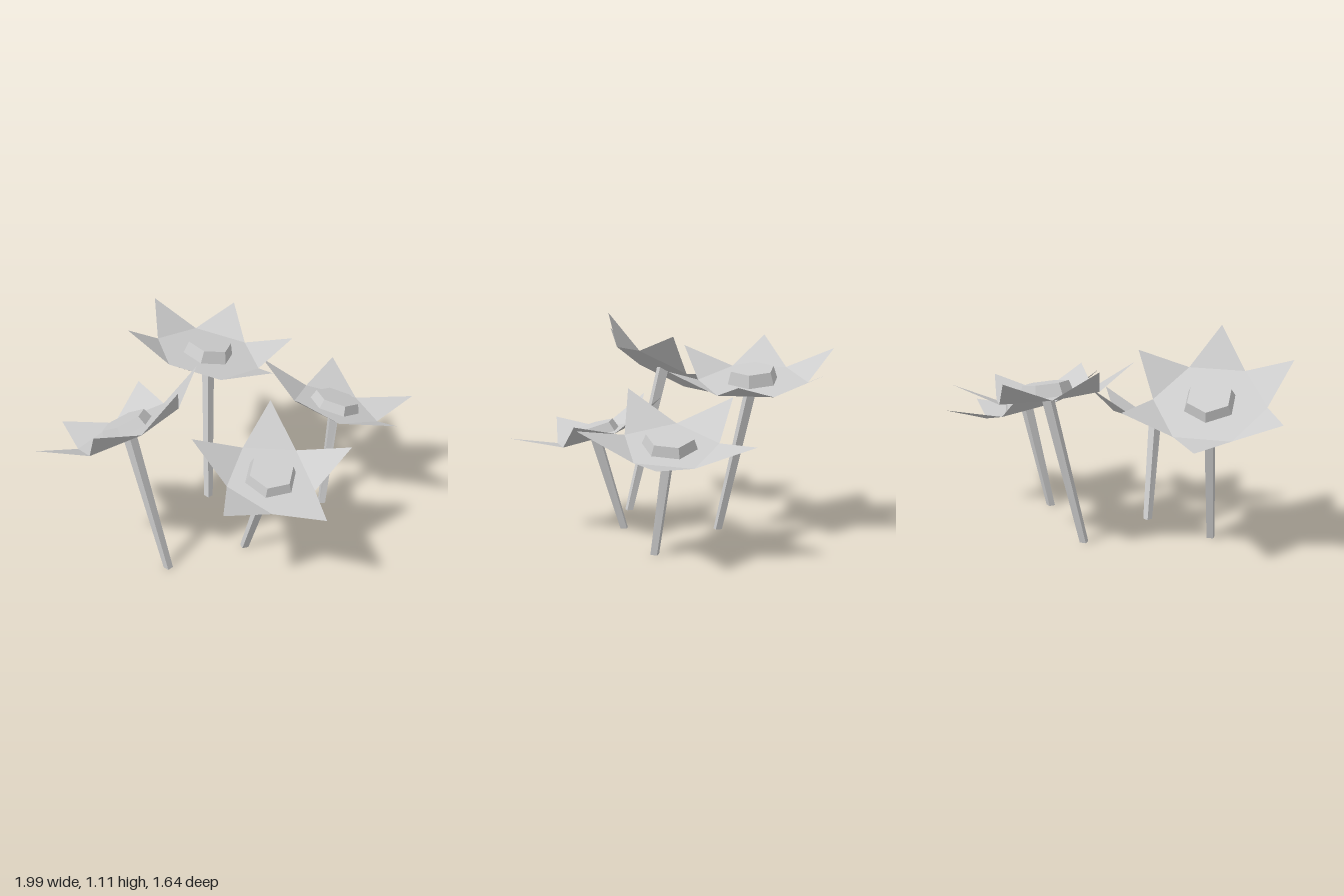
import * as THREE from 'three';

// One entry per flower: centre of the ring of petal tips, its slopes (dy/dx, dy/dz),
// the heading of one petal, sizes, and the foot of the stem.
const FLOWERS = [
  { name: 'leftBackFlower', petals: 6, centre: [-0.583, 0.88, -0.213], slope: [0.105, 0.58], heading: [0.053, 0.385],
    tip: 0.452, base: 0.285, depth: 0.117, foot: [-0.525, 0.06], twist: 0.05, spin: 0, lift: 0 },
  { name: 'rightBackFlower', petals: 6, centre: [0.222, 0.912, -0.368], slope: [-0.166, -0.1], heading: [-0.01, 0.455],
    tip: 0.458, base: 0.285, depth: 0.115, foot: [0.065, -0.245], twist: 0, spin: 0, lift: 0.015 },
  { name: 'middleFrontFlower', petals: 5, centre: [-0.114, 0.619, 0.404], slope: [0.127, -0.26], heading: [0.384, 0.186],
    tip: 0.427, base: 0.233, depth: 0.11, foot: [-0.12, 0.215], twist: -0.45, spin: 0, lift: 0 },
  { name: 'rightFrontFlower', petals: 5, centre: [0.616, 0.661, 0.211], slope: [-0.32, -0.08], heading: [-0.186, -0.386],
    tip: 0.448, base: 0.243, depth: 0.11, foot: [0.465, 0.24], twist: -0.65, spin: 0.07, lift: 0 },
];

function flat(geometry) {
  const g = geometry.index ? geometry.toNonIndexed() : geometry;
  g.computeVertexNormals();
  return g;
}

// Flat polygon floor with one upturned triangular petal on every side
function bloomGeometry({ petals, tip, base, depth }) {
  const step = (Math.PI * 2) / petals;
  const at = (r, a, y) => [r * Math.sin(a), y, r * Math.cos(a)];
  const points = [];
  for (let i = 0; i < petals; i++) {
    const a = at(base, (i - 0.5) * step, 0);
    const b = at(base, (i + 0.5) * step, 0);
    points.push(0, 0, 0, ...a, ...b);
    points.push(...a, ...at(tip, i * step, depth), ...b);
  }
  const g = new THREE.BufferGeometry();
  g.setAttribute('position', new THREE.Float32BufferAttribute(points, 3));
  return flat(g);
}

// Square leaning stem, cut level at the foot and along the bloom at the top
function stemGeometry(foot, top, slope, twist) {
  const g = new THREE.CylinderGeometry(0.033, 0.024, 1, 4, 1);
  g.rotateY(Math.PI / 4 + twist);
  const p = g.attributes.position;
  for (let i = 0; i < p.count; i++) {
    const dx = p.getX(i), dz = p.getZ(i);
    if (p.getY(i) > 0) p.setXYZ(i, top.x + dx, top.y + slope[0] * dx + slope[1] * dz, top.z + dz);
    else p.setXYZ(i, foot[0] + dx, 0, foot[1] + dz);
  }
  return flat(g);
}

function makeFlower(f, material) {
  const flower = new THREE.Group();
  flower.name = f.name;
  const add = (name, geometry, parent) => {
    const mesh = new THREE.Mesh(geometry, material);
    mesh.name = name;
    parent.add(mesh);
    return mesh;
  };

  // Tilted frame: y along the bloom's axis, z towards the first petal
  const up = new THREE.Vector3(-f.slope[0], 1, -f.slope[1]).normalize();
  const ahead = new THREE.Vector3(f.heading[0], f.slope[0] * f.heading[0] + f.slope[1] * f.heading[1], f.heading[1]).normalize();
  const side = new THREE.Vector3().crossVectors(up, ahead);
  const head = new THREE.Group();
  head.name = 'flowerHead';
  head.quaternion.setFromRotationMatrix(new THREE.Matrix4().makeBasis(side, up, ahead));
  head.position.fromArray(f.centre).addScaledVector(up, -f.depth);
  flower.add(head);

  add('petals', bloomGeometry(f), head);
  const height = 0.05 + f.lift;
  const heart = add('flowerCentre', flat(new THREE.CylinderGeometry(0.117, 0.136, height, 6, 1)), head);
  heart.position.y = height / 2 + 0.001;
  heart.rotation.y = f.spin;

  add('stem', stemGeometry(f.foot, head.position, f.slope, f.twist), flower);
  return flower;
}

export function createModel() {
  const grey = new THREE.MeshStandardMaterial({ color: 0xcccccc, side: THREE.DoubleSide });
  grey.name = 'light grey';
  const model = new THREE.Group();
  model.name = 'flowers';
  for (const f of FLOWERS) model.add(makeFlower(f, grey));
  return model;
}
